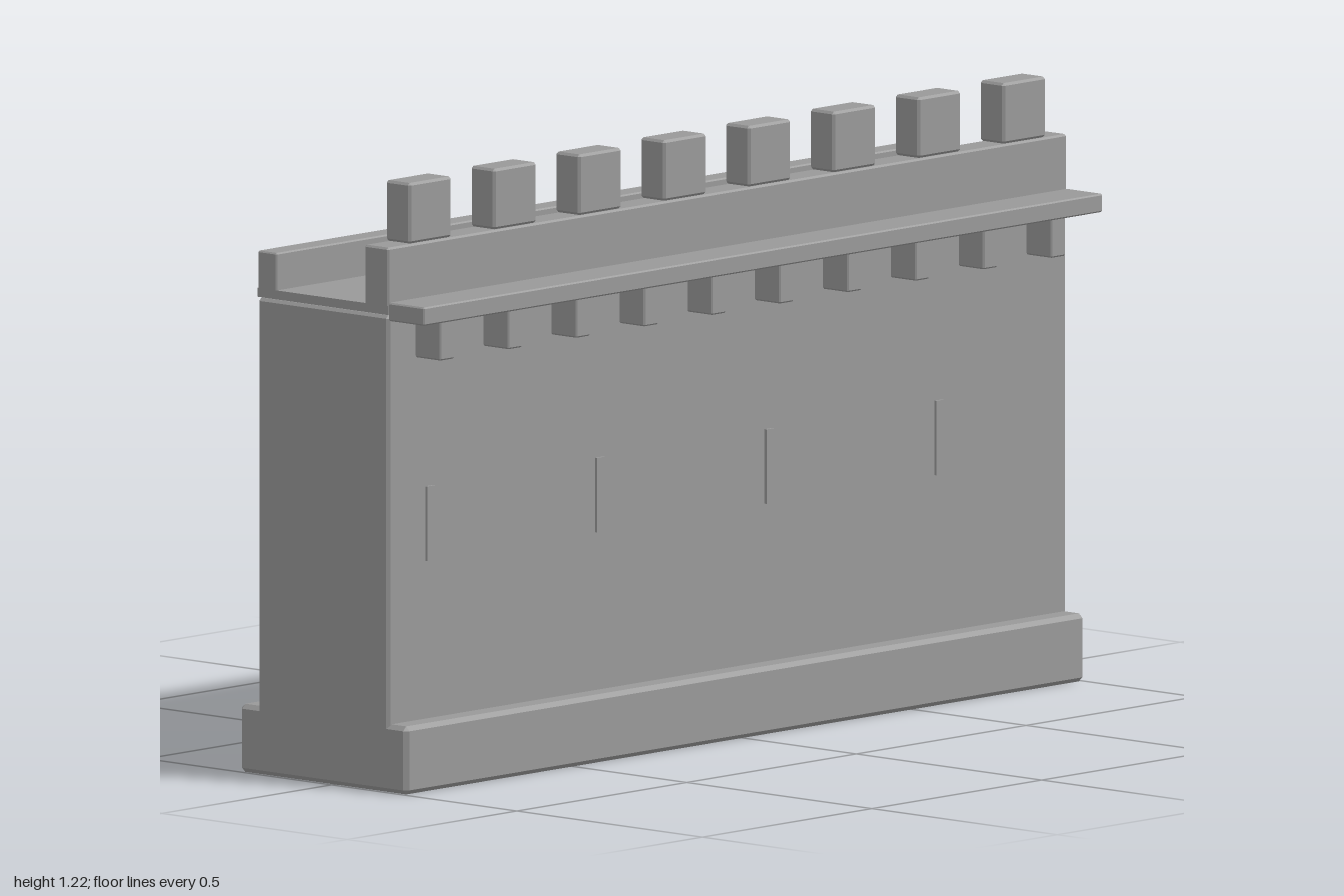
import * as THREE from 'three';
import { ConvexGeometry } from 'three/addons/geometries/ConvexGeometry.js';

const stone = new THREE.MeshStandardMaterial({ color: 0x999999 });
stone.name = 'grey stone';

// Box between two corners with chamfered edges
function block(parent, name, [x0, x1], [y0, y1], [z0, z1], c) {
  const half = [(x1 - x0) / 2, (y1 - y0) / 2, (z1 - z0) / 2];
  let geometry;
  if (c) {
    const points = [];
    for (const sx of [-1, 1]) for (const sy of [-1, 1]) for (const sz of [-1, 1]) {
      for (let axis = 0; axis < 3; axis++) {
        // On each face the corner is inset along the other two axes
        const h = half.map((v, i) => (i === axis ? v : v - c));
        points.push(new THREE.Vector3(sx * h[0], sy * h[1], sz * h[2]));
      }
    }
    geometry = new ConvexGeometry(points);
  } else {
    geometry = new THREE.BoxGeometry(half[0] * 2, half[1] * 2, half[2] * 2);
  }
  const mesh = new THREE.Mesh(geometry, stone);
  mesh.name = name;
  mesh.position.set((x0 + x1) / 2, (y0 + y1) / 2, (z0 + z1) / 2);
  parent.add(mesh);
}

// Repeated blocks share a named group
function row(parent, name, count, start, step, width, y, z, c) {
  const group = new THREE.Group();
  group.name = name + 's';
  for (let i = 0; i < count; i++) {
    const x = start + i * step;
    block(group, name, [x - width / 2, x + width / 2], y, z, c);
  }
  parent.add(group);
}

export function createModel() {
  const model = new THREE.Group();
  model.name = 'castleWall';
  const full = [-1, 1];

  // Main wall and its wider foot
  block(model, 'wall', full, [0.005, 0.96], [-0.2, 0.153], 0.006);
  block(model, 'plinth', full, [0, 0.137], [-0.25, 0.202], 0.009);

  // Walkway between the front and rear parapets
  block(model, 'walkway', full, [0.962, 0.98], [-0.2, 0.153], 0);
  block(model, 'frontParapet', full, [0.962, 1.097], [0.088, 0.153], 0.004);
  block(model, 'rearParapet', full, [0.962, 1.055], [-0.2, -0.148], 0.003);

  // Merlons standing on the front parapet
  row(model, 'merlon', 8, -0.875, 0.25, 0.126, [1.098, 1.22], [0.088, 0.154], 0.005);

  // Projecting ledge carried by corbels
  block(model, 'ledge', full, [0.95, 0.987], [0.152, 0.25], 0.003);
  row(model, 'corbel', 10, -0.9, 0.2, 0.042, [0.868, 0.951], [0.152, 0.222], 0.003);

  // Thin arrow slits on the front
  row(model, 'arrowSlit', 4, -0.88, 0.5, 0.022, [0.455, 0.605], [0.15, 0.159], 0);

  return model;
}
